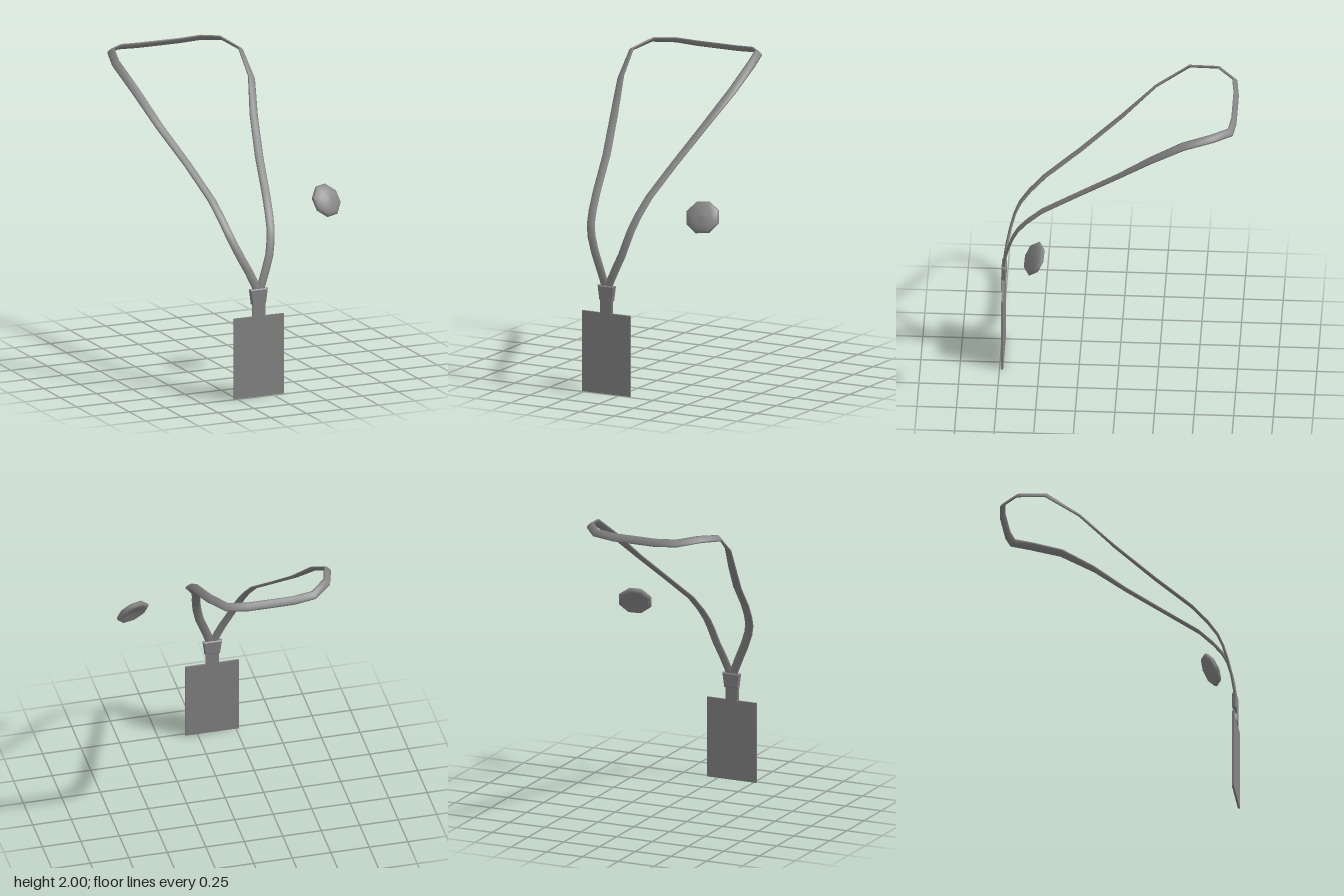
import * as THREE from 'three';

const grey = () => new THREE.MeshStandardMaterial({ color: 0x848484 });

function addMesh(group, name, geometry) {
  const mesh = new THREE.Mesh(geometry, grey());
  mesh.name = name;
  group.add(mesh);
  return mesh;
}

// Strap stations from the clip up to the nape:
// left x, right x, y, z, then the right side's outward width direction
const STATIONS = [
  [-0.10, -0.09, 0.66, 0.73, 1, 0, 0],
  [-0.115, -0.075, 0.72, 0.728, 1, 0, 0],
  [-0.155, -0.04, 0.81, 0.715, 1, 0, 0],
  [-0.20, -0.005, 0.90, 0.695, 1, 0, 0],
  [-0.24, 0.017, 0.99, 0.668, 1, 0, 0],
  [-0.264, 0.031, 1.06, 0.635, 1, 0, 0],
  [-0.283, 0.047, 1.14, 0.575, 1, 0, 0],
  [-0.306, 0.07, 1.24, 0.48, 1, 0, 0],
  [-0.365, 0.128, 1.42, 0.25, 1, 0, 0],
  [-0.45, 0.205, 1.622, 0, 1, -0.1, 0],
  [-0.52, 0.285, 1.812, -0.21, 0.88, -0.45, 0],
  [-0.56, 0.305, 1.945, -0.42, 0.75, -0.65, 0],
  [-0.51, 0.255, 1.978, -0.605, 0.65, -0.65, -0.4],
  [-0.40, 0.165, 1.966, -0.712, 0.3, -0.72, -0.6],
  [-0.26, 0.03, 1.957, -0.728, 0, -0.8, -0.6],
];

// Soft flat ribbon with an eight-sided oval section swept along the open loop
function ribbonGeometry(halfWidth, halfThick) {
  const left = STATIONS.map(([xl, , y, z, a, b, c]) => ({
    p: new THREE.Vector3(xl, y, z), w: new THREE.Vector3(-a, b, c) }));
  const right = STATIONS.map(([, xr, y, z, a, b, c]) => ({
    p: new THREE.Vector3(xr, y, z), w: new THREE.Vector3(a, b, c) }));
  const path = [...left, ...right.reverse()];
  const k = 8;
  const positions = [], index = [];
  path.forEach(({ p, w }, i) => {
    const prev = path[Math.max(i - 1, 0)].p;
    const next = path[Math.min(i + 1, path.length - 1)].p;
    const dirIn = p.clone().sub(prev).normalize();
    const dirOut = next.clone().sub(p).normalize();
    const t = dirIn.add(dirOut).normalize();
    const wide = w.clone().addScaledVector(t, -w.dot(t)).normalize();
    const n = t.clone().cross(wide);
    for (let j = 0; j < k; j++) {
      const angle = (j / k) * Math.PI * 2;
      const q = p.clone()
        .addScaledVector(wide, Math.cos(angle) * halfWidth)
        .addScaledVector(n, Math.sin(angle) * halfThick);
      positions.push(q.x, q.y, q.z);
    }
    if (i === 0) return;
    for (let j = 0; j < k; j++) {
      const a = (i - 1) * k + j, b = (i - 1) * k + (j + 1) % k;
      index.push(a, b, a + k, b, b + k, a + k);
    }
  });
  const g = new THREE.BufferGeometry();
  g.setAttribute('position', new THREE.Float32BufferAttribute(positions, 3));
  g.setIndex(index);
  g.computeVertexNormals();
  return g;
}

export function createModel() {
  const group = new THREE.Group();
  group.name = 'lanyard';
  const cx = -0.096;

  addMesh(group, 'strap', ribbonGeometry(0.028, 0.009));

  // Tapered clip that gathers both strap ends
  const trapezoid = new THREE.Shape([
    [-0.043, 0.61], [0.043, 0.61], [0.055, 0.694], [-0.055, 0.694],
  ].map(([x, y]) => new THREE.Vector2(x, y)));
  const clip = addMesh(group, 'clip', new THREE.ExtrudeGeometry(trapezoid, {
    depth: 0.016, bevelSize: 0.007, bevelThickness: 0.007, bevelSegments: 1 }));
  clip.position.set(cx, 0, 0.721);

  // Thin hanging loop, open at both sides, through which the card hangs
  const rect = (path, z0, z1, y0, y1) => path
    .moveTo(z0, y0).lineTo(z1, y0).lineTo(z1, y1).lineTo(z0, y1).closePath();
  const outline = rect(new THREE.Shape(), -0.746, -0.722, 0.51, 0.615);
  outline.holes.push(rect(new THREE.Path(), -0.742, -0.726, 0.515, 0.61));
  const loop = addMesh(group, 'cardLoop',
    new THREE.ExtrudeGeometry(outline, { depth: 0.082, bevelEnabled: false }));
  loop.rotation.y = Math.PI / 2;
  loop.position.x = cx - 0.041;

  const card = addMesh(group, 'card', new THREE.BoxGeometry(0.346, 0.523, 0.013));
  card.position.set(cx, 0.2615, 0.733);

  // Separate domed pin button with a shallow dished back
  const profile = [
    [0, -0.014], [0.06, -0.017], [0.09, -0.024], [0.104, -0.018],
    [0.112, -0.004], [0.1, 0.012], [0.062, 0.025], [0, 0.031],
  ].map(([r, y]) => new THREE.Vector2(r, y));
  const button = addMesh(group, 'pinButton', new THREE.LatheGeometry(profile, 8));
  button.quaternion.setFromUnitVectors(
    new THREE.Vector3(0, 1, 0), new THREE.Vector3(0.27, 0.48, 0.83).normalize());
  button.position.set(0.476, 1.164, 0.514);

  return group;
}
